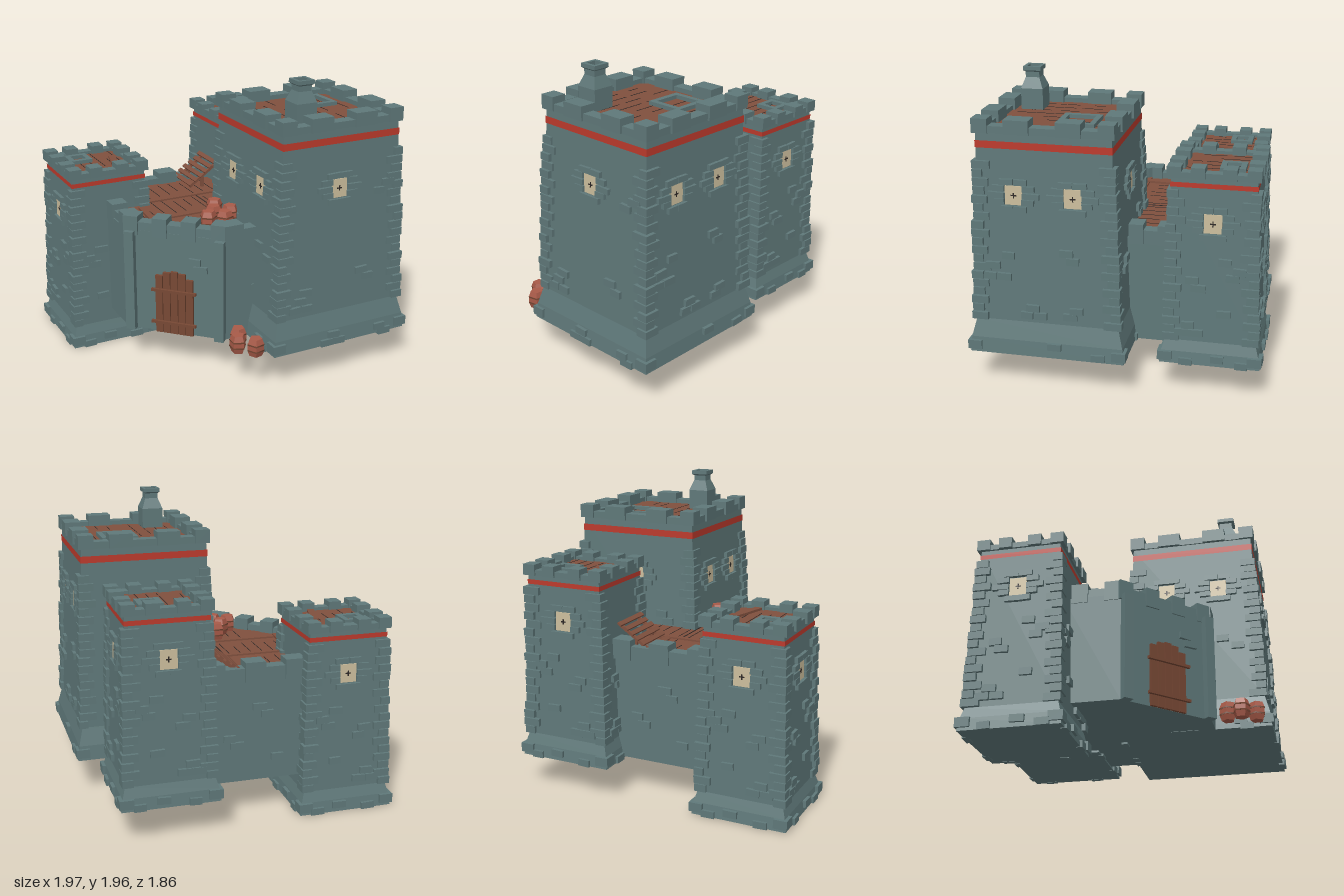
import * as THREE from 'three';

const mat = (name, color, side = THREE.FrontSide) => {
  const m = new THREE.MeshStandardMaterial({ color, side });
  m.name = name;
  return m;
};

export function createModel() {
  const stone = mat('stone', 0x5f7879), wood = mat('wood', 0x80503e), red = mat('red band', 0xbc3a2c);
  const pane = mat('window pane', 0xcbbd9c), dark = mat('dark gap', 0x2c2725), barrelRed = mat('barrel wood', 0xa85a48);
  const doorWood = mat('door wood', 0x774834);
  let seed = 7;
  const rnd = (a = 0, b = 1) => {
    seed = (seed * 16807) % 2147483647;
    return a + (b - a) * seed / 2147483647;
  };

  const group = (parent, name, x = 0, y = 0, z = 0, ry = 0) => {
    const g = new THREE.Group();
    g.name = name;
    g.position.set(x, y, z);
    g.rotation.y = ry;
    parent.add(g);
    return g;
  };
  const mesh = (parent, name, geo, m, x = 0, y = 0, z = 0) => {
    const o = new THREE.Mesh(geo, m);
    o.name = name;
    o.position.set(x, y, z);
    parent.add(o);
    return o;
  };
  const box = (parent, name, m, w, h, d, x, y, z) => mesh(parent, name, new THREE.BoxGeometry(w, h, d), m, x, y, z);

  // four-sided stack of [half width, height] steps
  const square = (steps) => {
    const geo = new THREE.LatheGeometry(steps.map(([r, y]) => new THREE.Vector2(r * Math.SQRT2, y)), 4, Math.PI / 4).toNonIndexed();
    geo.computeVertexNormals();
    return geo;
  };
  // prism over a plan outline of [x, z] points
  const prism = (pts, h) => new THREE.ExtrudeGeometry(
    new THREE.Shape(pts.map(([x, z]) => new THREE.Vector2(x, -z))), { depth: h, bevelEnabled: false }).rotateX(-Math.PI / 2);

  const root = new THREE.Group();
  root.name = 'castle';

  const brick = (face, x, y, z, w = 0.085, h = 0.045) => {
    const b = box(face, 'brick', stone, w * rnd(0.9, 1.1), h, 0.04, x, y, z);
    b.rotation.z = rnd(-0.05, 0.05);
    return b;
  };

  const windowBricks = [[0.045, 0.085, 0.085], [0.095, 0.045, 0.075], [0.11, 0, 0.1], [0.09, -0.04, 0.07], [0.04, -0.085, 0.08]];
  const addWindow = (face, u, y, z, tilt) => {
    const w = group(face, 'window', u, y, z);
    w.rotation.x = -tilt;
    box(w, 'windowPane', pane, 0.11, 0.12, 0.008, 0, 0, 0.003);
    box(w, 'windowCross', dark, 0.035, 0.008, 0.006, 0, 0, 0.006);
    box(w, 'windowCross', dark, 0.008, 0.035, 0.006, 0, 0, 0.006);
    for (const s of [-1, 1]) for (const [x, by, bw] of windowBricks) brick(w, s * x, by, 0.002, bw, 0.036);
  };

  // short dark seams between floor boards
  const seams = (parent, x0, x1, z0, z1, y, rows) => {
    for (let i = 1; i < rows; i++) for (let j = 0; j < 4; j++) {
      const len = rnd(0.05, 0.16);
      box(parent, 'boardSeam', dark, 0.004, 0.004, len, x0 + (x1 - x0) * i / rows, y, rnd(z0 + len / 2, z1 - len / 2));
    }
  };

  function tower(name, cx, y0, cz, o) {
    const t = group(root, name, cx, y0, cz);
    const [, flareTop] = o.steps[2], [lowW] = o.steps[2], [topW, topY] = o.steps[3];
    const hw = (y) => y < o.steps[1][1] ? o.steps[1][0] + 0.003 : lowW + (topW - lowW) * Math.max(0, y - flareTop) / (topY - flareTop);
    const tilt = Math.atan((lowW - topW) / (topY - flareTop));
    mesh(t, 'towerWall', square([[0, 0], ...o.steps, [0, topY]]), stone);
    const bw = hw(o.bandY) + 0.004;
    mesh(t, 'redBand', square([[bw, o.bandY - o.bandH / 2], [bw, o.bandY + o.bandH / 2]]), red);

    // wooden roof floor with cut corners
    const f = o.floor, c = 0.06;
    mesh(t, 'roofFloor', prism([[-f, c - f], [c - f, -f], [f - c, -f], [f, c - f], [f, f - c], [f - c, f], [c - f, f], [-f, f - c]], 0.015), wood, 0, topY, 0);
    seams(t, -f, f, -f, f, topY + 0.015, o.rows);

    // battlements
    const b = o.wallHalf, th = o.thick, low = o.merlonH * 0.5;
    for (let s = 0; s < 4; s++) {
      const p = group(t, 'battlement', 0, topY, 0, s * Math.PI / 2);
      box(p, 'lowWall', stone, 2 * b - 0.04, low, th - 0.02, 0, low / 2, b - th / 2);
      box(p, 'cornerMerlon', stone, th, o.merlonH, th, b - th / 2, o.merlonH / 2, b - th / 2);
      for (const k of [-1, 1]) box(p, 'merlon', stone, o.merlonW, o.merlonH, th + 0.01, k * o.merlonX, o.merlonH / 2, b - th / 2);
    }

    // corner stones, long side alternating
    for (let s = 0; s < 4; s++) {
      const q = group(t, 'cornerStones', 0, 0, 0, s * Math.PI / 2);
      for (let y = flareTop + 0.025, i = s; y < o.quoinTop; y += 0.055, i++) {
        const lx = (i % 2 ? 0.105 : 0.07) + rnd(-0.01, 0.01), lz = (i % 2 ? 0.07 : 0.105) + rnd(-0.01, 0.01);
        const e = hw(y) + rnd(0.014, 0.026);
        box(q, 'cornerStone', stone, lx, 0.048, lz, e - lx / 2, y, e - lz / 2);
      }
      box(q, 'baseStone', stone, 0.09, 0.06, 0.09, o.steps[0][0] - 0.033, 0.05, o.steps[0][0] - 0.033);
    }

    // windows and loose bricks on the front, left, back and right faces
    for (let s = 0; s < 4; s++) {
      const face = group(t, 'towerFace', 0, 0, 0, s * Math.PI / 2);
      for (const u of o.windows[s]) addWindow(face, u, o.windowY, hw(o.windowY), tilt);
      for (const [u, y] of o.bricks[s]) brick(face, u, y, hw(y));
    }

    // roof hatch
    const [hx, hz, hs] = o.hatch;
    const h = group(t, 'roofHatch', hx, topY + 0.022, hz);
    for (let s = 0; s < 4; s++) {
      const side = group(h, 'hatchSide', 0, 0, 0, s * Math.PI / 2);
      box(side, 'hatchFrame', stone, hs * 2 - 0.035, 0.035, 0.035, -0.0175, 0, hs - 0.0175);
    }
    return t;
  }

  // main tower
  const base = [[-0.06, 0.07], [-0.11, 0.02], [-0.02, 0.02], [0.3, 0.05], [0.34, 0.01]];
  const keep = tower('mainTower', 0.47, 0.25, 0.415, {
    steps: [[0.5, 0], [0.49, 0.1], [0.46, 0.22], [0.42, 1.43]], bandY: 1.36, bandH: 0.045, floor: 0.36, rows: 9,
    wallHalf: 0.44, thick: 0.1, merlonH: 0.09, merlonW: 0.155, merlonX: 0.16, quoinTop: 1.28, windowY: 1.05,
    windows: [[-0.02], [-0.19, 0.18], [0], [-0.18, 0.18]], hatch: [0.13, -0.15, 0.122],
    bricks: [
      [[-0.26, 0.39], [-0.34, 0.28], [-0.25, 0.28], [-0.3, 0.335], [0.16, 0.47], [0.21, 0.42], [0.35, 1.04], [0.28, 0.99], ...base],
      [[-0.235, 0.66], [-0.335, 0.59], [-0.265, 0.52], [-0.355, 0.52], [0.135, 0.7], [0.175, 0.65], [-0.085, 0.32], [-0.125, 0.27], [-0.035, 0.27], [0.195, 0.32], [0.155, 0.28], [0.055, 0.08], [0.335, 0.03]],
      [[0.2, 0.8], [0.25, 0.75], [-0.2, 0.6], [-0.25, 0.55], ...base],
      [[0.2, 0.66], [0.3, 0.6], [-0.14, 0.75], [0.1, 0.34], [0.05, 0.29], [-0.25, 0.34], ...base]],
  });

  // chimney
  mesh(keep, 'chimney', square([[0.072, 1.43], [0.072, 1.58], [0.045, 1.65], [0.045, 1.685], [0.058, 1.695], [0.058, 1.72], [0.036, 1.72], [0.036, 1.67], [0, 1.67]]), stone, -0.19, 0, 0.23);

  // the two matching back towers
  const bricksA = [[0.08, 0.69], [0.13, 0.59], [0.17, 0.635], [-0.12, 0.56], [-0.08, 0.51], [0.08, 0.35], [-0.14, 0.26], [-0.18, 0.21], [-0.09, 0.21], [0.05, 0.05], [-0.15, 0.02], [0.2, 0.02]];
  const bricksB = bricksA.map(([u, y]) => [-u, y]);
  const small = {
    steps: [[0.315, 0], [0.305, 0.08], [0.285, 0.15], [0.258, 1.21]], bandY: 1.165, bandH: 0.03, floor: 0.24, rows: 7,
    wallHalf: 0.282, thick: 0.085, merlonH: 0.07, merlonW: 0.085, merlonX: 0.095, quoinTop: 1.13, windowY: 0.93,
    bricks: [bricksB, bricksA, bricksB, bricksA],
  };
  tower('backLeftTower', 0.53, 0.235, -0.6, { ...small, windows: [[], [0], [0], []], hatch: [0.075, -0.095, 0.078] });
  const east = tower('backRightTower', -0.66, 0.015, -0.52, { ...small, windows: [[], [], [0], [0]], hatch: [-0.09, -0.085, 0.078] });
  box(east, 'loosePlank', wood, 0.045, 0.015, 0.25, 0.115, 1.235, 0.07).rotation.y = -0.25;

  // court block between the towers
  const court = group(root, 'court');
  mesh(court, 'courtWall', prism([[-0.68, -0.3], [-0.68, 0.07], [-0.2, 0.55], [0.1, 0.55], [0.1, 0], [0.59, 0], [0.59, -0.5], [0.4, -0.7], [-0.5, -0.7]], 0.705), stone, 0, 0.25, 0);
  mesh(court, 'courtFloor', prism([[-0.6, -0.3], [-0.6, 0.05], [-0.17, 0.48], [0.08, 0.48], [0.08, 0], [0.51, 0], [0.51, -0.35], [0.3, -0.63], [-0.43, -0.63]], 0.012), wood, 0, 0.955, 0);
  seams(court, -0.58, 0.5, -0.28, 0, 0.967, 14);
  seams(court, -0.4, 0.25, -0.62, -0.3, 0.967, 8);
  seams(court, -0.3, 0.05, 0.05, 0.35, 0.967, 5);
  box(court, 'floorBeam', wood, 1.1, 0.02, 0.03, -0.04, 0.968, -0.29);
  box(court, 'floorBeam', wood, 0.6, 0.02, 0.03, -0.28, 0.968, 0.05);
  box(court, 'floorGap', dark, 0.006, 0.004, 0.32, 0, 0.968, -0.13);
  box(court, 'loosePlank', wood, 0.045, 0.015, 0.25, -0.47, 0.98, -0.05).rotation.y = -0.08;

  // court battlements: blocks alternate tall and low
  const rampart = (x0, z0, x1, z1, n) => {
    const len = Math.hypot(x1 - x0, z1 - z0);
    const g = group(court, 'courtBattlement', x0, 0.92, z0, -Math.atan2(z1 - z0, x1 - x0));
    for (let i = 0; i < n; i++) {
      const h = i % 2 ? 0.09 : 0.13;
      box(g, 'courtMerlon', stone, len / n, h, i % 2 ? 0.085 : 0.11, len * (i + 0.5) / n, h / 2, 0);
    }
  };
  rampart(-0.63, -0.25, -0.63, 0.07, 3);
  rampart(-0.66, 0.03, -0.16, 0.52, 7);
  rampart(-0.2, 0.51, 0.06, 0.51, 2);
  rampart(0.55, -0.32, 0.55, -0.04, 3);
  rampart(-0.4, -0.67, 0.27, -0.67, 5);

  // slanted entrance wall with pilasters and plank door
  const gate = group(court, 'entrance', -0.44, 0.25, 0.31, -Math.PI / 4);
  for (const x of [-0.305, 0.315]) box(gate, 'pilaster', stone, 0.065, 0.7, 0.06, x, 0.35, 0.015);
  [0.41, 0.435, 0.445, 0.435, 0.4].forEach((h, i) => {
    box(gate, 'doorPlank', doorWood, 0.048, h, 0.02, (i - 2) * 0.053, h / 2, 0.012);
  });
  for (const y of [0.08, 0.31]) box(gate, 'doorBar', doorWood, 0.31, 0.018, 0.02, 0, y, 0.03);
  for (const [x, y] of [[0.14, 0.53], [0.18, 0.48]]) brick(gate, x, y, 0);

  // loose bricks on the back wall
  const back = group(court, 'backWallBricks', 0, 0, -0.7, Math.PI);
  for (const [x, y] of [[0.1, 0.75], [0.15, 0.7], [-0.1, 0.55], [-0.05, 0.5], [0.22, 0.4]]) brick(back, x, y, 0);

  // plank stair up to the back left tower
  const stair = group(court, 'stair', 0.13, 1.07, -0.545);
  stair.rotation.z = 0.6;
  for (const z of [-0.11, 0.11]) box(stair, 'stairRail', wood, 0.27, 0.018, 0.02, 0, -0.015, z);
  for (let i = 0; i < 6; i++) box(stair, 'stairStep', wood, 0.03, 0.014, 0.29 + rnd(-0.02, 0.02), -0.12 + i * 0.048, 0.002, 0);
  for (const z of [-0.65, -0.44]) box(court, 'stairPost', wood, 0.02, 0.1, 0.02, 0.13, 1.01, z);

  // five-sided barrels on the roof and by the gate
  const barrelGeo = new THREE.LatheGeometry([[0, 0], [0.042, 0], [0.055, 0.035], [0.055, 0.085], [0.042, 0.12], [0, 0.12]].map(([r, y]) => new THREE.Vector2(r, y)), 5).toNonIndexed();
  barrelGeo.computeVertexNormals();
  const hoopGeo = new THREE.CylinderGeometry(0.057, 0.057, 0.01, 5, 1);
  const barrels = [[-0.06, 0.13], [-0.12, 0.24], [-0.02, 0.28], [-0.2, 0.32], [-0.1, 0.36]].map(([x, z]) => [x, 0.96, z])
    .concat([[-0.15, 0.65], [-0.2, 0.74], [-0.12, 0.83]].map(([x, z]) => [x, 0.255, z]));
  for (const [x, y, z] of barrels) {
    const b = group(root, 'barrel', x, y, z, rnd(0, 1.2));
    mesh(b, 'barrelBody', barrelGeo, barrelRed);
    for (const h of [0.04, 0.08]) mesh(b, 'barrelHoop', hoopGeo, doorWood, 0, h, 0);
  }
  return root;
}
